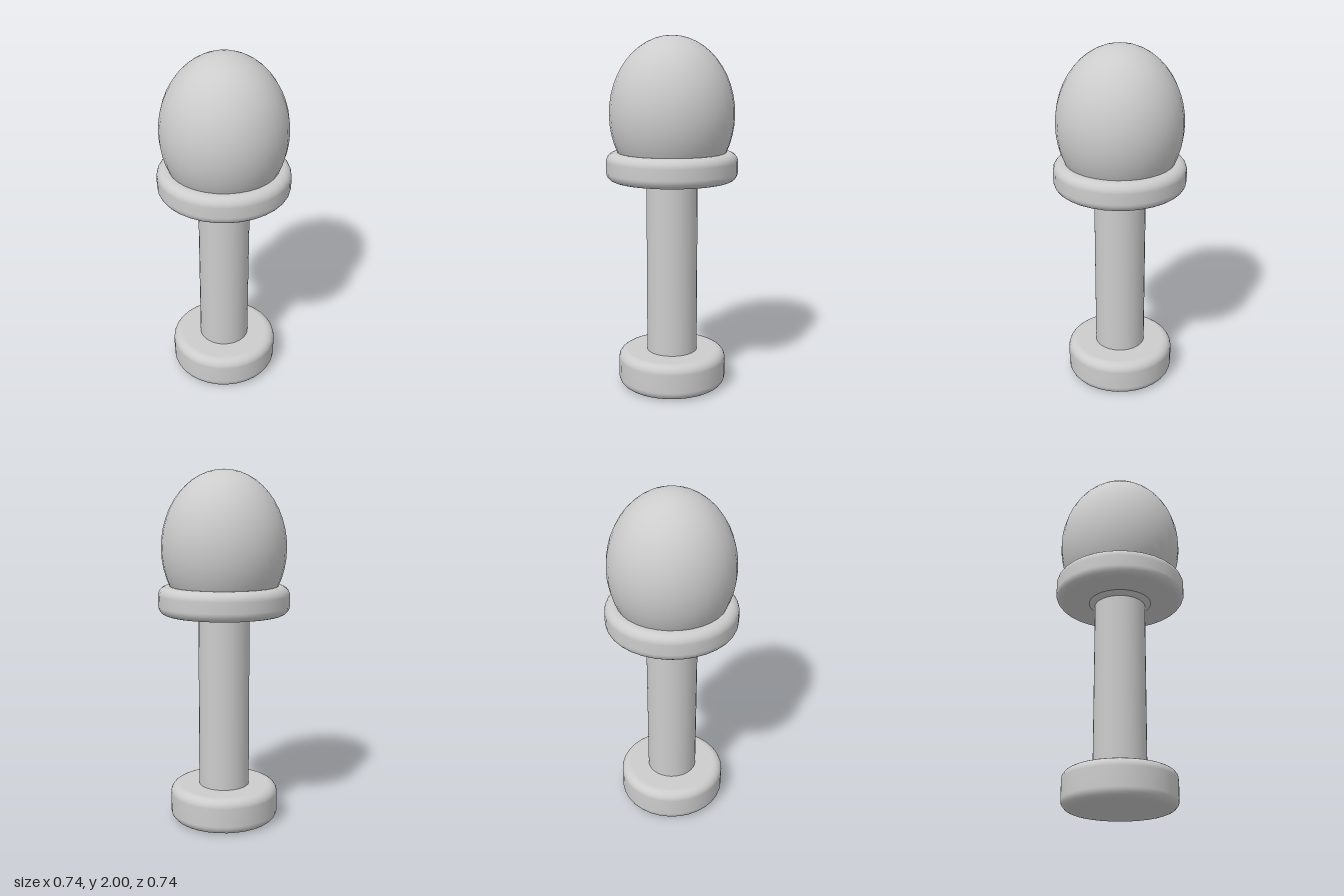
import * as THREE from 'three';

const SIDES = 32;

// Solid disc with rounded rims, turned from its half section
function roundedDisc(radius, bottom, top, bevel) {
  const points = [new THREE.Vector2(0, bottom), new THREE.Vector2(radius - bevel - 0.004, bottom)];
  const steps = 6;
  for (const [centreY, start] of [[bottom + bevel, -Math.PI / 2], [top - bevel, 0]]) {
    for (let i = 0; i <= steps; i++) {
      const a = start + (i / steps) * Math.PI / 2;
      points.push(new THREE.Vector2(radius - bevel + bevel * Math.cos(a), centreY + bevel * Math.sin(a)));
    }
  }
  points.push(new THREE.Vector2(radius - bevel - 0.004, top), new THREE.Vector2(0, top));
  return new THREE.LatheGeometry(points, SIDES);
}

export function createModel() {
  const model = new THREE.Group();
  model.name = 'eggTopPost';
  const grey = new THREE.MeshStandardMaterial({ color: 0xcccccc });
  grey.name = 'light grey';

  const add = (name, geometry, y = 0) => {
    const mesh = new THREE.Mesh(geometry, grey);
    mesh.name = name;
    mesh.position.y = y;
    model.add(mesh);
  };

  // Foot, shaft and the wide ring that holds the head
  add('base', roundedDisc(0.31, 0, 0.205, 0.05));
  add('post', new THREE.CylinderGeometry(0.145, 0.145, 1.1, SIDES), 0.7);
  add('collar', roundedDisc(0.37, 1.2, 1.36, 0.05));

  // Egg-shaped head, its underside just showing below the collar
  const egg = new THREE.SphereGeometry(1, SIDES, 24);
  egg.scale(0.35, 0.43, 0.35);
  add('head', egg, 1.57);

  return model;
}
